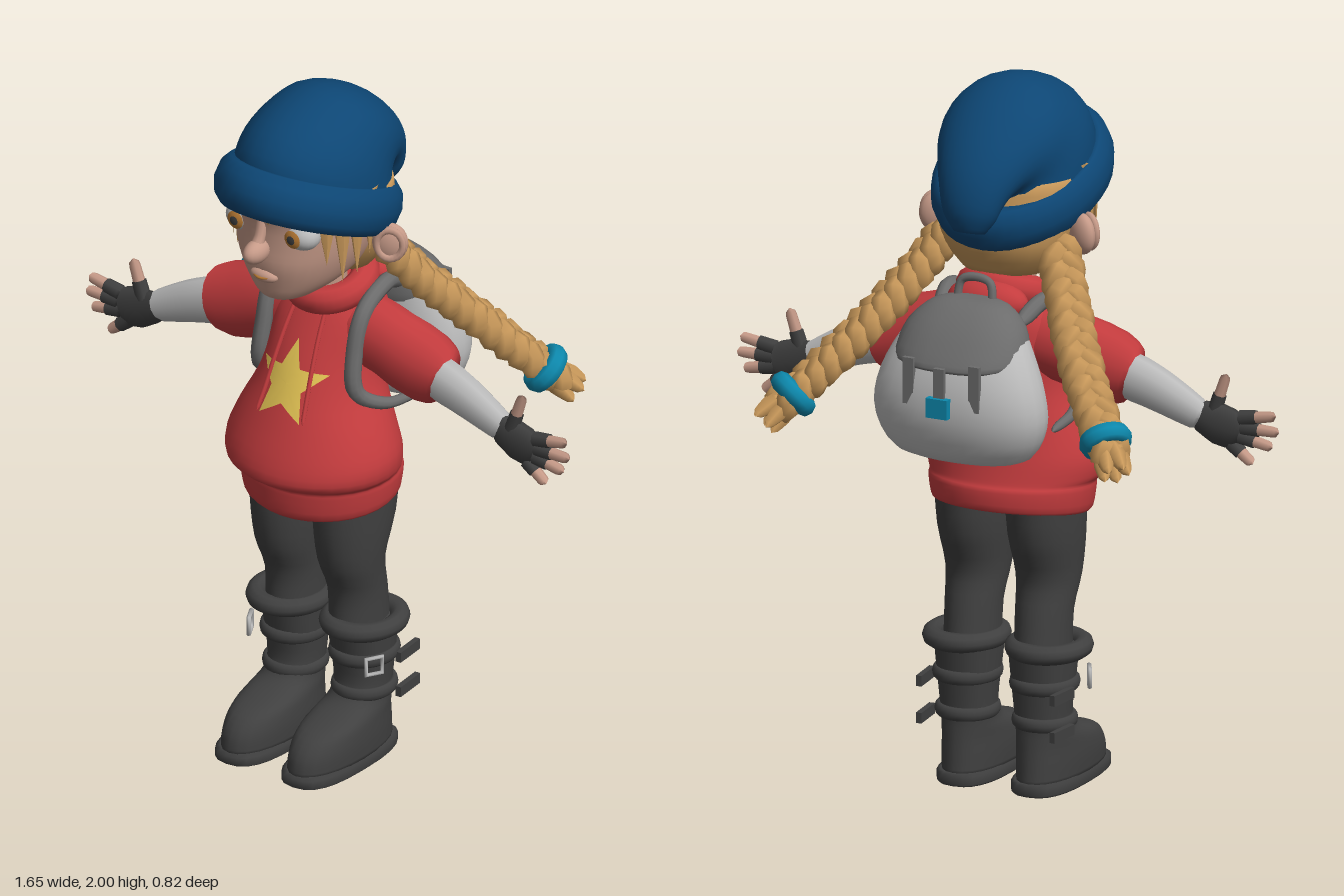
import * as THREE from 'three';

const mat = (name, color, side = THREE.FrontSide) => {
  const m = new THREE.MeshStandardMaterial({ color, side });
  m.name = name;
  return m;
};

// Catmull-Rom smoothing of a list of equal-length rows
function smooth(rows, n = 3) {
  const out = [];
  const at = i => rows[Math.max(0, Math.min(rows.length - 1, i))];
  for (let i = 0; i < rows.length - 1; i++)
    for (let k = 0; k < n; k++) {
      const t = k / n;
      out.push(rows[i].map((b, c) => {
        const a = at(i - 1)[c], d = at(i + 1)[c], e = at(i + 2)[c];
        return b + 0.5 * t * (d - a + t * (2 * a - 5 * b + 4 * d - e + t * (3 * (b - d) + e - a)));
      }));
    }
  out.push(at(rows.length - 1));
  return out;
}

// Rings from a side outline; row = [front z, front y, back z, back y, half width]
function loft(rows, cx = 0, seg = 24, p = 1) {
  const pos = [], idx = [], n = rows.length;
  const pw = v => Math.sign(v) * Math.abs(v) ** p;
  for (const [za, ya, zb, yb, rx] of rows)
    for (let j = 0; j < seg; j++) {
      const t = j / seg * Math.PI * 2, c = pw(Math.cos(t)), s = pw(Math.sin(t));
      pos.push(cx + rx * s, (ya + yb) / 2 + c * (ya - yb) / 2, (za + zb) / 2 + c * (za - zb) / 2);
    }
  for (let i = 0; i < n - 1; i++)
    for (let j = 0; j < seg; j++) {
      const a = i * seg + j, b = i * seg + (j + 1) % seg;
      idx.push(a, b, b + seg, a, b + seg, a + seg);
    }
  for (const e of [0, n - 1]) {
    const [za, ya, zb, yb] = rows[e], c = pos.length / 3;
    pos.push(cx, (ya + yb) / 2, (za + zb) / 2);
    for (let j = 0; j < seg; j++) {
      const a = e * seg + j, b = e * seg + (j + 1) % seg;
      e ? idx.push(c, a, b) : idx.push(c, b, a);
    }
  }
  const g = new THREE.BufferGeometry();
  g.setAttribute('position', new THREE.Float32BufferAttribute(pos, 3));
  g.setIndex(idx);
  g.computeVertexNormals();
  return g;
}

// Tube of varying radius with rounded ends
function limb(points, radii, { n = 24, seg = 10, cap = 0.08, flat = 1, z = 0 } = {}) {
  const curve = new THREE.CatmullRomCurve3(points.map(q => new THREE.Vector3(...q)));
  const g = new THREE.TubeGeometry(curve, n, 1, seg), P = g.attributes.position, v = new THREE.Vector3();
  for (let i = 0; i <= n; i++) {
    const u = i / n, f = u * (radii.length - 1), k = Math.min(Math.floor(f), radii.length - 2);
    const e = Math.min(1, Math.min(u, 1 - u) / cap);
    const r = (radii[k] + (radii[k + 1] - radii[k]) * (f - k)) * Math.sqrt(1 - (1 - e) ** 2);
    const c = curve.getPointAt(u);
    for (let j = 0; j <= seg; j++) {
      const q = i * (seg + 1) + j;
      v.fromBufferAttribute(P, q).sub(c).multiplyScalar(r).add(c);
      P.setXYZ(q, v.x, v.y, v.z);
    }
  }
  return g.scale(1, 1, flat).translate(0, 0, z);
}

const ball = (rx, ry, rz) => new THREE.SphereGeometry(1, 20, 14).scale(rx, ry, rz);
// Flat-lying oval ring
const oval = (rx, rz, tube, tall = 1) => new THREE.TorusGeometry(1, tube / rx, 10, 36)
  .rotateX(Math.PI / 2).scale(rx, rx * tall, rz);

export function createModel() {
  const root = new THREE.Group();
  const red = mat('hoodieRed', 0xc43c3e), blue = mat('hatBlue', 0x0d4674), hair = mat('hairBlond', 0xc8985a);
  const skin = mat('skin', 0xc69a88), dark = mat('charcoal', 0x404040), light = mat('lightGrey', 0xbcbcbc);
  const mid = mat('midGrey', 0x6c6c6c), teal = mat('teal', 0x0d88ac);
  const yellow = mat('starYellow', 0xe4c454, THREE.DoubleSide), amber = mat('irisAmber', 0xb87a34);
  const add = (name, geo, m, x = 0, y = 0, z = 0) => {
    const o = new THREE.Mesh(geo, m);
    o.name = name;
    o.position.set(x, y, z);
    root.add(o);
    return o;
  };

  // Hoodie
  const torso = smooth([
    [.22, .755, -.12, .81, .205], [.25, .77, -.14, .82, .225], [.258, .835, -.143, .87, .235],
    [.262, .857, -.135, .885, .235], [.308, .885, -.13, .90, .25], [.302, .94, -.12, .95, .254],
    [.265, 1.03, -.11, 1.02, .225], [.225, 1.12, -.11, 1.12, .18], [.18, 1.22, -.12, 1.2, .165],
    [.13, 1.31, -.12, 1.32, .17], [.10, 1.36, -.1, 1.4, .13], [.09, 1.38, -.08, 1.43, .1]]);
  add('hoodie', loft(torso, 0, 32), red);
  add('hoodCollar', oval(.1, .095, .04, 1.1), red, 0, 1.405, .02).rotation.x = .35;
  add('hoodBack', ball(.12, .06, .06), red, 0, 1.40, -.09);
  const chestZ = (x, y) => {
    let i = torso.findIndex(r => r[1] > y);
    const a = torso[i - 1], b = torso[i], t = (y - a[1]) / (b[1] - a[1]);
    const [za, , zb, , rx] = a.map((v, c) => v + (b[c] - v) * t);
    return (za + zb) / 2 + (za - zb) / 2 * Math.sqrt(Math.max(0, 1 - (x / rx) ** 2));
  };

  // Star and cords laid on the chest
  const star = new THREE.RingGeometry(.001, 1, 40, 8), S = star.attributes.position;
  for (let i = 0; i < S.count; i++) {
    const a = Math.atan2(S.getY(i), S.getX(i)), r = Math.hypot(S.getX(i), S.getY(i));
    const w = Math.PI * 2 / 5, d = Math.abs(((a - Math.PI / 2) / w + 10.5) % 1 - .5) * w;
    const tip = .115, dip = .052, h = w / 2;
    const k = tip * dip * Math.sin(h) / (tip * Math.sin(d) + dip * Math.sin(h - d));
    const x = Math.cos(a) * r * k, y = 1.155 + Math.sin(a) * r * k;
    S.setXYZ(i, x, y, chestZ(x, y) + .007);
  }
  star.computeVertexNormals();
  add('chestStar', star, yellow);
  for (const s of [-1, 1])
    add('hoodCord', limb([1.36, 1.28, 1.2, 1.12, 1.06].map((y, i) => {
      const x = s * (.05 + .007 * i);
      return [x, y, chestZ(x, y) + .008];
    }), [.007, .007], { seg: 6 }), red);

  // Neck and head
  add('neck', limb([[0, 1.32, .06], [0, 1.4, .05], [0, 1.5, .07]], [.07, .066, .07]), skin);
  add('head', loft(smooth([
    [.24, 1.428, .14, 1.445, .035], [.29, 1.448, .06, 1.465, .085], [.31, 1.50, -.02, 1.50, .135],
    [.325, 1.56, -.08, 1.56, .168], [.325, 1.62, -.1, 1.62, .186], [.328, 1.68, -.11, 1.68, .193],
    [.34, 1.74, -.11, 1.74, .19], [.32, 1.80, -.1, 1.8, .17]]), 0, 32, .95), skin);
  add('nose', ball(.03, .034, .05), skin, 0, 1.612, .348);
  add('noseBridge', limb([[0, 1.70, .32], [0, 1.65, .335], [0, 1.61, .36]], [.016, .016, .022]), skin);
  add('lips', ball(.045, .02, .022), skin, 0, 1.527, .313);
  add('mouthLine', limb([[-.04, 1.53, .318], [0, 1.527, .336], [.04, 1.53, .318]], [.004, .004], { seg: 6 }), amber);
  for (const s of [-1, 1]) {
    add('eye', ball(.052, .044, .048), light, s * .1, 1.665, .272);
    const disc = (r, a) => new THREE.SphereGeometry(r, 20, 6, 0, Math.PI * 2, 0, a).rotateX(Math.PI / 2);
    add('iris', disc(.051, .54), amber, s * .097, 1.665, .273);
    add('pupil', disc(.0525, .25), dark, s * .097, 1.665, .273);
    add('upperLid', limb([[s * .045, 1.687, .312], [s * .1, 1.712, .304], [s * .155, 1.685, .262]],
      [.009, .009]), skin);
    add('eyebrow', limb([[s * .04, 1.735, .335], [s * .1, 1.752, .312], [s * .16, 1.735, .25]],
      [.009, .012, .006]), hair);
    add('ear', ball(.05, .058, .028), skin, s * .22, 1.583, .04).rotation.y = s * .5;
    add('earRim', new THREE.TorusGeometry(.036, .01, 8, 20).scale(1, 1.2, 1), skin, s * .232, 1.587, .058)
      .rotation.y = s * .5;

    // Locks beside the face and short fringe
    [[-.05, .2], [.18, .24], [.4, .25], [.62, .19], .82, 1.0, 1.2, 1.42].forEach(l => {
      const [a, len] = Array.isArray(l) ? l : [l, l < .9 ? .13 : .07];
      const g = new THREE.ConeGeometry(.042, len, 6).rotateX(Math.PI).scale(1, 1, .35);
      add('hairLock', g, hair, s * .195 * Math.cos(a), 1.765 - len / 2, .11 + .228 * Math.sin(a))
        .rotation.y = s * (Math.PI / 2 - a);
    });
  }
  add('backHair', loft(smooth([
    [.1, 1.47, -.08, 1.47, .12], [.14, 1.54, -.12, 1.54, .175], [.17, 1.62, -.13, 1.62, .196],
    [.2, 1.74, -.12, 1.74, .198]])), hair);

  // Slouchy hat
  add('hatCrown', loft(smooth([
    [.33, 1.78, -.13, 1.60, .205], [.325, 1.86, -.145, 1.64, .205], [.27, 1.93, -.13, 1.665, .2],
    [.17, 1.98, -.12, 1.68, .188], [.05, 2.0, -.12, 1.69, .172], [-.07, 1.955, -.13, 1.69, .148],
    [-.17, 1.87, -.14, 1.68, .12], [-.23, 1.78, -.148, 1.66, .095], [-.25, 1.69, -.152, 1.64, .075],
    [-.235, 1.63, -.165, 1.615, .045]]), 0, 28), blue);
  add('hatRim', oval(.2, .25, .04, 1.75), blue, 0, 1.70, .117).rotation.x = -.37;

  for (const s of [-1, 1]) {
    // Plait of three crossing strands, with band and tuft
    const path = new THREE.CatmullRomCurve3([[.165, 1.56, 0], [.22, 1.46, -.06], [.33, 1.3, -.19],
      [.475, 1.13, -.32], [.515, 1.09, -.355]].map(p => new THREE.Vector3(p[0] * s, p[1], p[2])));
    const dir = path.getTangentAt(.6), side = new THREE.Vector3(0, 1, 0).cross(dir).normalize();
    const up = dir.clone().cross(side);
    for (let k = 0; k < 3; k++) {
      const pts = [];
      for (let i = 0; i <= 48; i++) {
        const t = i / 48 * Math.PI * 9 + k * Math.PI * 2 / 3;
        pts.push(path.getPointAt(i / 48).addScaledVector(side, .03 * Math.sin(t))
          .addScaledVector(up, .018 * Math.sin(2 * t)).toArray());
      }
      add('plaitStrand', limb(pts, [.034, .036, .032], { n: 72, seg: 7, cap: .02 }), hair);
    }
    const aim = new THREE.Quaternion().setFromUnitVectors(new THREE.Vector3(0, 0, 1), dir);
    add('plaitBand', new THREE.TorusGeometry(.05, .024, 8, 20).scale(1, 1, 1.2), teal,
      s * .475, 1.13, -.32).quaternion.copy(aim);
    for (let k = 0; k < 5; k++) {
      const a = k / 5 * Math.PI * 2, o = side.clone().multiplyScalar(.03 * Math.cos(a)).addScaledVector(up, .03 * Math.sin(a));
      const q = new THREE.Vector3(s * .485, 1.12, -.33);
      add('plaitTuft', limb([0, .05, .1].map((d, i) => q.clone().addScaledVector(dir, d)
        .addScaledVector(o, .6 + .3 * i).toArray()), [.022, .026, .012], { n: 8, seg: 6, cap: .2 }), hair);
    }

    // Arms
    const arm = (name, pts, radii, m, opt) => add(name, limb(pts.map(p => [p[0] * s, p[1], p[2] || 0]), radii, opt), m);
    arm('sleeve', [[.09, 1.29], [.2, 1.265], [.3, 1.235], [.395, 1.21]], [.1, .105, .103, .108, .105, .085],
      red, { flat: .85, z: .015, cap: .06, seg: 16 });
    arm('forearm', [[.34, 1.22], [.45, 1.185], [.6, 1.12]], [.066, .066, .06, .052, .042], light, { flat: .8, z: .02 });
    arm('glove', [[.57, 1.13], [.63, 1.11], [.715, 1.09]], [.042, .05, .06, .058, .045], dark, { flat: .48, z: .027, cap: .15 });
    [[.7, 1.13, .815, 1.15], [.705, 1.105, .825, 1.105], [.7, 1.08, .805, 1.06], [.675, 1.06, .745, 1.005],
      [.625, 1.13, .665, 1.25]].forEach(([x, y, X, Y]) => {
      const mx = x + (X - x) * .55, my = y + (Y - y) * .55;
      arm('finger', [[x, y], [mx, my], [X, Y]], [.018, .017, .015], skin, { n: 12, seg: 8, z: .03, cap: .15 });
      arm('gloveFinger', [[x, y], [(x + mx) / 2, (y + my) / 2], [mx, my]], [.022, .021, .02], dark,
        { n: 8, seg: 8, z: .03, cap: .05 });
    });

    // Legs and boots
    add('leg', loft(smooth([
      [.13, .38, -.07, .38, .075], [.125, .5, -.05, .5, .078], [.165, .6, -.035, .6, .088],
      [.185, .72, -.08, .72, .1], [.19, .86, -.1, .86, .104]]), s * .107), dark);
    add('boot', loft(smooth([
      [.325, .03, -.075, .03, .085], [.315, .08, -.07, .08, .088], [.275, .125, -.065, .125, .086],
      [.2, .152, -.062, .152, .082], [.125, .18, -.06, .18, .076], [.1, .23, -.062, .23, .077],
      [.11, .32, -.07, .32, .086], [.125, .41, -.08, .41, .094]]), s * .113, 24, .9), dark);
    add('sole', loft([[.325, 0, -.08, 0, .085], [.337, .006, -.086, .006, .09], [.337, .03, -.086, .03, .09],
      [.32, .036, -.075, .036, .082]], s * .113, 24, .75), dark);
    add('bootCuff', oval(.092, .103, .027), dark, s * .125, .405, .03);
    for (const [y, r, rz] of [[.305, .083, .092], [.2, .077, .084]]) {
      add('bootStrap', oval(r, rz, .012, 1.6), dark, s * .117, y, .02);
      add('strapTail', new THREE.BoxGeometry(.016, .03, .1), dark, s * .208, y - .012, -.055).rotation.y = s * .1;
    }
    const buckle = add('bootBuckle', new THREE.TorusGeometry(.034, .007, 6, 4).rotateZ(Math.PI / 4)
      .rotateY(Math.PI / 2), light, s * .212, .31, .1);
    buckle.rotation.y = -s * .5;

    // Shoulder straps
    add('shoulderStrap', limb([[.12, 1.36, -.15], [.145, 1.405, -.04], [.155, 1.36, .075], [.155, 1.25, .115],
      [.165, 1.14, .12], [.2, 1.085, .04], [.22, 1.07, -.14]].map(p => [p[0] * s, p[1], p[2]]),
    [.024, .024, .024, .024, .016, .012], { n: 40 }), mid);
  }

  // Backpack
  add('backpack', loft(smooth([
    [-.17, .985, -.24, .985, .1], [-.13, 1.02, -.33, 1.01, .2], [-.12, 1.11, -.375, 1.1, .25],
    [-.12, 1.2, -.38, 1.2, .245], [-.12, 1.3, -.35, 1.3, .205], [-.12, 1.38, -.29, 1.38, .15],
    [-.14, 1.42, -.22, 1.42, .08]]), 0, 28, .9), light);
  add('packFlap', loft(smooth([
    [-.13, 1.275, -.372, 1.27, .165], [-.115, 1.3, -.37, 1.29, .19], [-.113, 1.37, -.315, 1.37, .168],
    [-.13, 1.42, -.25, 1.425, .11], [-.16, 1.435, -.2, 1.435, .05]]), 0, 28, .85), mid);
  add('packHandle', limb([[-.055, 1.41, -.17], [-.04, 1.475, -.16], [.04, 1.475, -.16], [.055, 1.41, -.17]],
    [.012, .012], { seg: 8 }), mid);
  for (const x of [-.1, 0, .1])
    add('flapStrap', new THREE.BoxGeometry(.032, x ? .13 : .1, .014), mid, x, 1.235, x ? -.366 : -.381);
  add('packClip', new THREE.BoxGeometry(.065, .055, .03), teal, 0, 1.175, -.385);
  return root;
}
